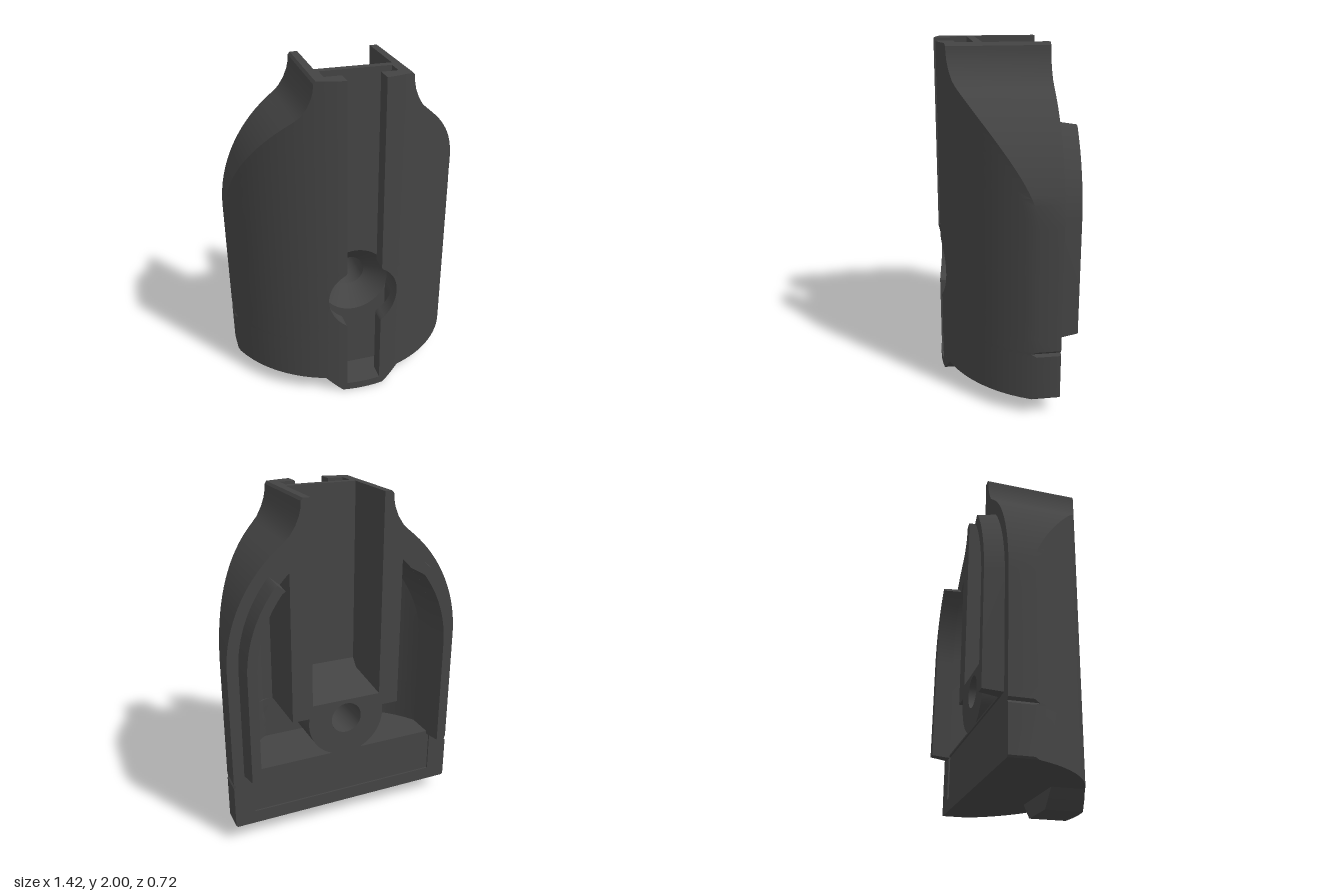
import * as THREE from 'three';
import { toCreasedNormals } from 'three/addons/utils/BufferGeometryUtils.js';

const BACK = -0.255, SLOT = 0.155, LIP = 0.255, HOLE_Y = 0.68;
const material = new THREE.MeshStandardMaterial({ color: 0x444444, side: THREE.DoubleSide });

const range = (a, b, n) => Array.from({ length: n + 1 }, (_, i) => a + (b - a) * i / n);
const chord = (r, y) => Math.sqrt(Math.max(0, r * r - (y - HOLE_Y) ** 2));
// curved front, as depth over x
const front = x => -0.405 + Math.sqrt(0.585 - x * x);
const inner = x => Math.min(0.1, -0.405 + Math.sqrt(0.416 - x * x));
// shoulder line, moved inwards by d
const side = (y, d = 0) => y <= 1.1 ? 0.71 - d : -0.135 + Math.sqrt((0.845 - d) ** 2 - (y - 1.1) ** 2);

function add(group, name, geometry) {
  const m = new THREE.Mesh(geometry, material);
  m.name = name;
  group.add(m);
  return m;
}

// skin over rows of [x, y, z] points
function loft(rows) {
  const n = rows[0].length, index = [];
  for (let r = 0; r < rows.length - 1; r++)
    for (let i = 0; i < n - 1; i++) {
      const a = r * n + i, b = a + n;
      index.push(a, a + 1, b, a + 1, b + 1, b);
    }
  const g = new THREE.BufferGeometry();
  g.setAttribute('position', new THREE.Float32BufferAttribute(rows.flat(2), 3));
  g.setIndex(index);
  return toCreasedNormals(g, 0.5);
}

// flat horizontal face from [x, z] points
function cap(points, y) {
  const shape = new THREE.Shape(points.map(p => new THREE.Vector2(p[0], p[1])));
  return new THREE.ShapeGeometry(shape).rotateX(Math.PI / 2).translate(0, y, 0);
}

// half of the horizontal section: slot, lip, curved front, side
function section(y, e, slotWidth, back) {
  const cut = chord(0.21, y), lip = Math.max(0.105, cut), w = Math.max(slotWidth, lip);
  return [
    [cut, SLOT], [w, SLOT], [w, LIP], [lip, LIP],
    ...range(lip, e, 20).map(x => [x, front(x)]),
    [e, back],
  ];
}
const atY = (points, y) => points.map(([x, z]) => [x, y, z]);

function createHalf() {
  const half = new THREE.Group();

  // silhouette from bottom to top as [y, half width]
  const outline = [
    [0.1, 0.7], [0.11, 0.71], [0.365, 0.71], [0.38, 0.697], [0.395, 0.71],
    ...range(0, Math.PI, 28).map(t => [HOLE_Y - 0.21 * Math.cos(t), 0.71]),
    ...range(1.1, 1.75, 20).map(y => [y, side(y)]),
    [1.78, 0.368], [1.81, 0.335], [1.86, 0.302], [1.91, 0.281], [1.95, 0.272],
    [1.985, 0.27], [2, 0.258],
  ];
  add(half, 'outerShell', loft(outline.map(([y, e]) => atY(section(y, e, 0.2, BACK), y))));
  add(half, 'topFace', cap([...section(2, 0.258, 0.2, BACK), [0.215, BACK], [0.215, 0.11], [0, 0.11]], 2));
  add(half, 'bottomFace', cap([...section(0.1, 0.7, 0.2, BACK), [0, BACK]], 0.1));

  // hollow between side wall and channel post, open to the back
  const cavity = [
    ...range(0.46, 0.72, 10).map(y => [y, chord(0.24, y), side(y, 0.145)]),
    ...[0.72, ...range(1.1, 1.61, 18)].map(y => [y, 0.34, side(y, 0.145)]),
  ];
  const hollow = ([y, a, b]) => atY([[a, BACK], ...range(a, b, 14).map(x => [x, inner(x)]), [b, BACK]], y);
  const flat = row => hollow(row).map(([x, y]) => [x, y, BACK]);
  add(half, 'sideCavity', loft([flat(cavity[0]), ...cavity.map(hollow), flat(cavity.at(-1))]));

  // back face with channel, screw hole, cavity and recessed panel cut out
  const face = new THREE.Shape();
  face.moveTo(0, 0.1);
  outline.forEach(([y, e]) => face.lineTo(e, y));
  [[0.215, 2], [0.215, 0.8], [0, 0.8], [0, HOLE_Y + 0.095]].forEach(p => face.lineTo(...p));
  face.absarc(0, HOLE_Y, 0.095, Math.PI / 2, -Math.PI / 2, true);
  [[0, 0.45], [0.588, 0.45], [0.588, 0.18], [0, 0.18]].forEach(p => face.lineTo(...p));
  face.holes.push(new THREE.Path([
    ...cavity.map(([y, a]) => new THREE.Vector2(a, y)),
    ...cavity.map(([y, , b]) => new THREE.Vector2(b, y)).reverse(),
  ]));
  add(half, 'backFace', new THREE.ShapeGeometry(face, 24).translate(0, 0, BACK));
  const panel = (y, z) => atY([[0, z], [0.588, z], [0.588, BACK]], y);
  add(half, 'recessedPanel', loft([
    panel(0.18, BACK), panel(0.18, BACK + 0.01), panel(0.45, BACK + 0.01), panel(0.45, BACK),
  ]));

  // tapered rail following the shoulder line
  const rail = (t, y, lean) => [[0.065, BACK], [0.08, -0.365], [0.135, -0.365], [0.145, BACK]].map(([d, z]) => {
    const r = 0.845 - d, shift = z < BACK ? lean : 0;
    return [-0.135 + r * Math.cos(t), y + shift + r * Math.sin(t), z];
  });
  const rails = [rail(0, 0.44, 0.012), ...range(0, 0.71, 18).map(t => rail(t, 1.1, t > 0.7 ? -0.01 : 0))];
  add(half, 'rail', loft(rails));
  [rails[0], rails.at(-1)].forEach(([p, q, r, s]) => add(half, 'railEnd', loft([[p, q], [s, r]])));

  // foot tab closing the lower end of the slot
  const solid = e => [...range(0, e, 8).map(x => [x, front(x)]), [e, 0.13], [0, 0.13]];
  add(half, 'footTab', loft([[0, 0.13], [0.012, 0.145], [0.05, 0.185]].map(([y, e]) => atY(solid(e), y))));
  add(half, 'footTabBottom', cap(solid(0.13), 0));
  add(half, 'slotFloor', cap(solid(0.185), 0.05));
  add(half, 'footTabSlot', loft([[0.05, 0.185, 0.17], [0.1, 0.235, 0.2]].map(([y, e, w]) =>
    atY([...section(y, e, w, 0.13), [0, 0.13]], y))));
  return half;
}

export function createModel() {
  const model = new THREE.Group();
  const left = createHalf();
  left.name = 'leftHalf';
  const right = left.clone();
  right.name = 'rightHalf';
  right.scale.x = -1;
  model.add(left, right);

  // open channel in the back, with a bevelled floor
  add(model, 'backChannel', loft([[0.8, BACK], [0.84, 0.065], [0.89, 0.11], [2, 0.11]].map(([y, z]) =>
    atY([[0.215, BACK], [0.215, z], [-0.215, z], [-0.215, BACK]], y))));

  // countersunk screw hole
  const bore = (name, r0, z0, r1, z1) => {
    const g = new THREE.CylinderGeometry(r0, r1, z0 - z1, 56, 1, true).rotateX(Math.PI / 2);
    add(model, name, g).position.set(0, HOLE_Y, (z0 + z1) / 2);
  };
  bore('countersink', 0.21, SLOT, 0.095, 0.04);
  bore('screwHole', 0.095, 0.04, 0.095, BACK);

  // centre the depth between rail tips and curved front
  model.children.forEach(c => { c.position.z += 0.0025; });
  return model;
}
